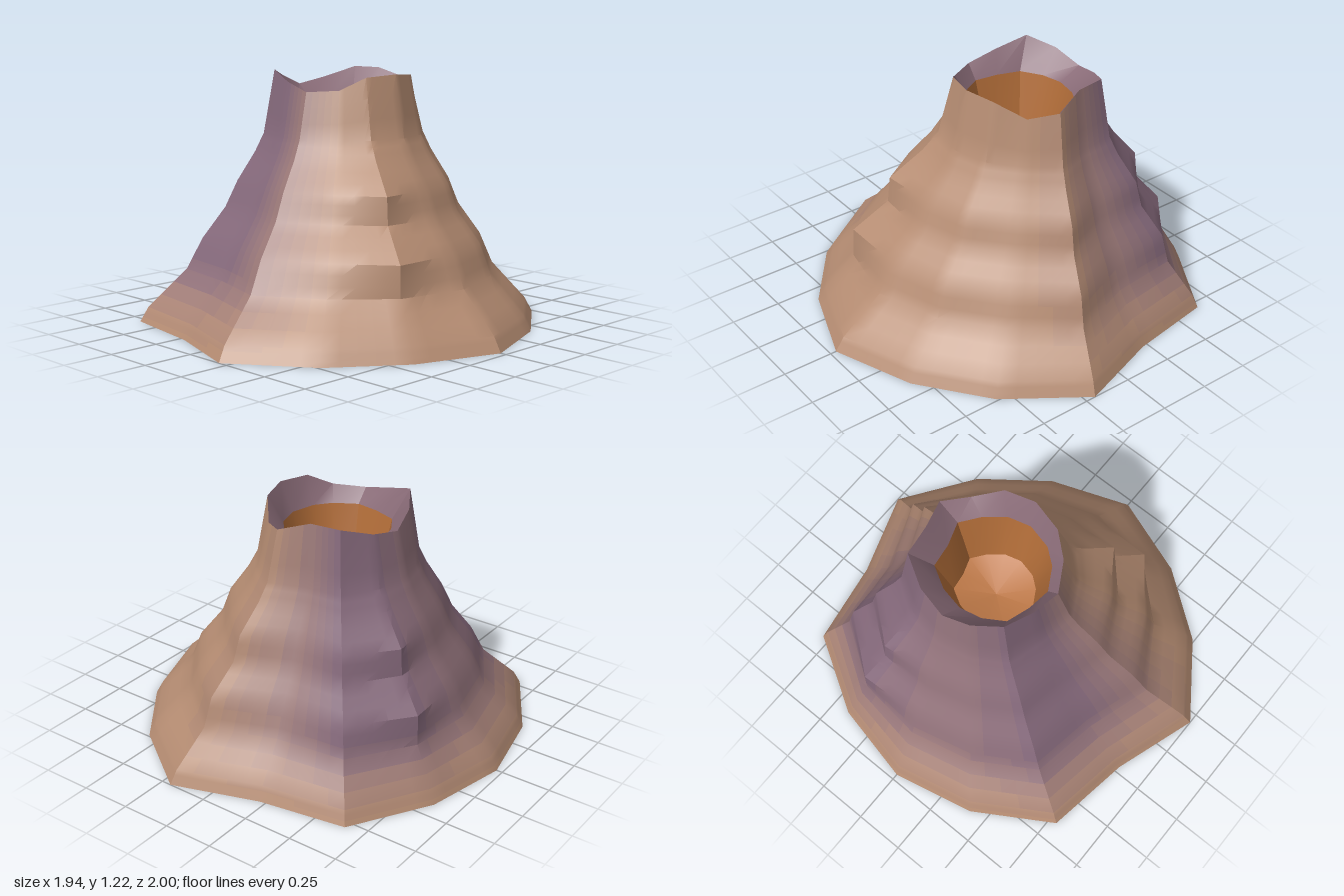
import * as THREE from 'three';
import { toCreasedNormals } from 'three/addons/utils/BufferGeometryUtils.js';

// 14 corners around the mountain: foot [x, z] and rim [x, y, z]
const FOOT = [
  [0.97, 0], [0.82, 0.41], [0.57, 0.74], [0.2, 1], [-0.22, 0.86], [-0.65, 0.79], [-0.88, 0.41],
  [-0.97, 0], [-0.88, -0.41], [-0.65, -0.79], [-0.22, -0.86], [0.2, -1], [0.57, -0.74], [0.82, -0.41],
];
const RIM = [
  [0.24, 1.21, -0.08], [0.2, 1.2, 0.08], [0.12, 1.14, 0.18], [-0.02, 1.13, 0.26], [-0.17, 1.17, 0.24],
  [-0.32, 1.22, 0.19], [-0.4, 1.18, 0.06], [-0.43, 1.13, -0.08], [-0.4, 1.16, -0.23], [-0.32, 1.21, -0.37],
  [-0.17, 1.21, -0.39], [-0.02, 1.16, -0.44], [0.1, 1.13, -0.35], [0.2, 1.2, -0.23],
];
const N = FOOT.length;

// Slope profile: height, and how far from foot to rim on smooth and on terraced sides
const LEVELS = [
  [0, 0, 0], [0.07, 0.06, 0.06], [0.25, 0.35, 0.27], [0.4, 0.48, 0.28], [0.55, 0.64, 0.53],
  [0.68, 0.74, 0.55], [0.82, 0.86, 0.78], [0.91, 0.92, 0.89],
];
// How terraced each corner is, and its tint from tan (0) to purple (1)
const TERRACE = [0.2, 1, 0.4, 0.1, 0, 0.1, 0.1, 0.2, 1, 0.5, 0.1, 0.45, 0.2, 0.3];
const TINT = [0, 0, 0, 0.6, 1, 1, 0.8, 0.8, 1, 1, 0.6, 0.1, 0, 0];
const TINT_STEPS = 10;
const TAN = new THREE.Color(0xb58c72), PURPLE = new THREE.Color(0x84687a);

const { lerp, smoothstep } = THREE.MathUtils;
const mix = (a, b, t) => a.map((v, k) => lerp(v, b[k], t));

// Triangles of a skin joining closed rings of points
function skin(rings) {
  const pos = [];
  for (let r = 0; r < rings.length - 1; r++) {
    const lo = rings[r], hi = rings[r + 1];
    lo.forEach((p, i) => {
      const j = (i + 1) % lo.length;
      pos.push(...p, ...hi[i], ...lo[j], ...lo[j], ...hi[i], ...hi[j]);
    });
  }
  const g = new THREE.BufferGeometry();
  g.setAttribute('position', new THREE.Float32BufferAttribute(pos, 3));
  return toCreasedNormals(g, 0.5);
}

function part(name, geometry, color) {
  const mesh = new THREE.Mesh(geometry,
    new THREE.MeshStandardMaterial({ color, side: THREE.DoubleSide }));
  mesh.name = name;
  return mesh;
}

// Split every facet of the rings into smaller ones
function refine(rings, across, up) {
  const wide = rings.map((ring) => ring.flatMap((p, i) =>
    Array.from({ length: across }, (_, s) => mix(p, ring[(i + 1) % ring.length], s / across))));
  const fine = [];
  for (let r = 0; r < wide.length - 1; r++) {
    for (let s = 0; s < up; s++) fine.push(wide[r].map((p, i) => mix(p, wide[r + 1][i], s / up)));
  }
  return [...fine, wide[wide.length - 1]];
}

// Mountain side, divided by rock tint while sharing its normals
function makeSlopes() {
  const rings = LEVELS.map(([y, smooth, terraced]) => FOOT.map(([x, z], i) => {
    const t = lerp(smooth, terraced, TERRACE[i]);
    return [lerp(x, RIM[i][0], t), y, lerp(z, RIM[i][2], t)];
  }));
  const across = 5;
  const geometry = skin(refine([...rings, RIM], across, 3));
  const pos = geometry.getAttribute('position').array;

  // Tint of each quad: by side, fading to tan near the foot
  const tints = Array.from({ length: pos.length / 18 }, (_, k) => {
    const s = (k % (N * across) + 0.5) / across, i = Math.floor(s);
    const y = (pos[k * 18 + 1] + pos[k * 18 + 4]) / 2;
    const side = lerp(TINT[i], TINT[(i + 1) % N], s - i);
    return Math.round(side * smoothstep(y, -0.02, 0.33) * TINT_STEPS);
  });

  const group = new THREE.Group();
  group.name = 'slopes';
  for (let step = 0; step <= TINT_STEPS; step++) {
    const g = new THREE.BufferGeometry();
    for (const key of ['position', 'normal']) {
      const out = [], src = geometry.getAttribute(key).array;
      tints.forEach((tint, k) => {
        if (tint === step) out.push(...src.subarray(k * 18, k * 18 + 18));
      });
      g.setAttribute(key, new THREE.Float32BufferAttribute(out, 3));
    }
    group.add(part('rockSlope' + (step + 1), g, TAN.clone().lerp(PURPLE, step / TINT_STEPS)));
  }
  return group;
}

// Ring inside the crater, shrunk from the rim about its middle
function craterRing(scale, y) {
  return RIM.map(([x, , z]) => [-0.08 + (x + 0.1) * scale, y, -0.06 + (z + 0.08) * scale]);
}

export function createModel() {
  const model = new THREE.Group();
  model.name = 'volcano';
  model.add(makeSlopes());

  // Crater: rock lip, glowing wall, lava floor
  const lip = craterRing(0.77, 1.06), pool = craterRing(0.56, 0.76);
  model.add(part('craterWall', skin([RIM, lip]), 0x8a6c78));
  model.add(part('lavaWall', skin([lip, pool]), 0xb06c38));
  model.add(part('lavaFloor', skin([pool, craterRing(0, 0.7)]), 0xc07a48));
  return model;
}
